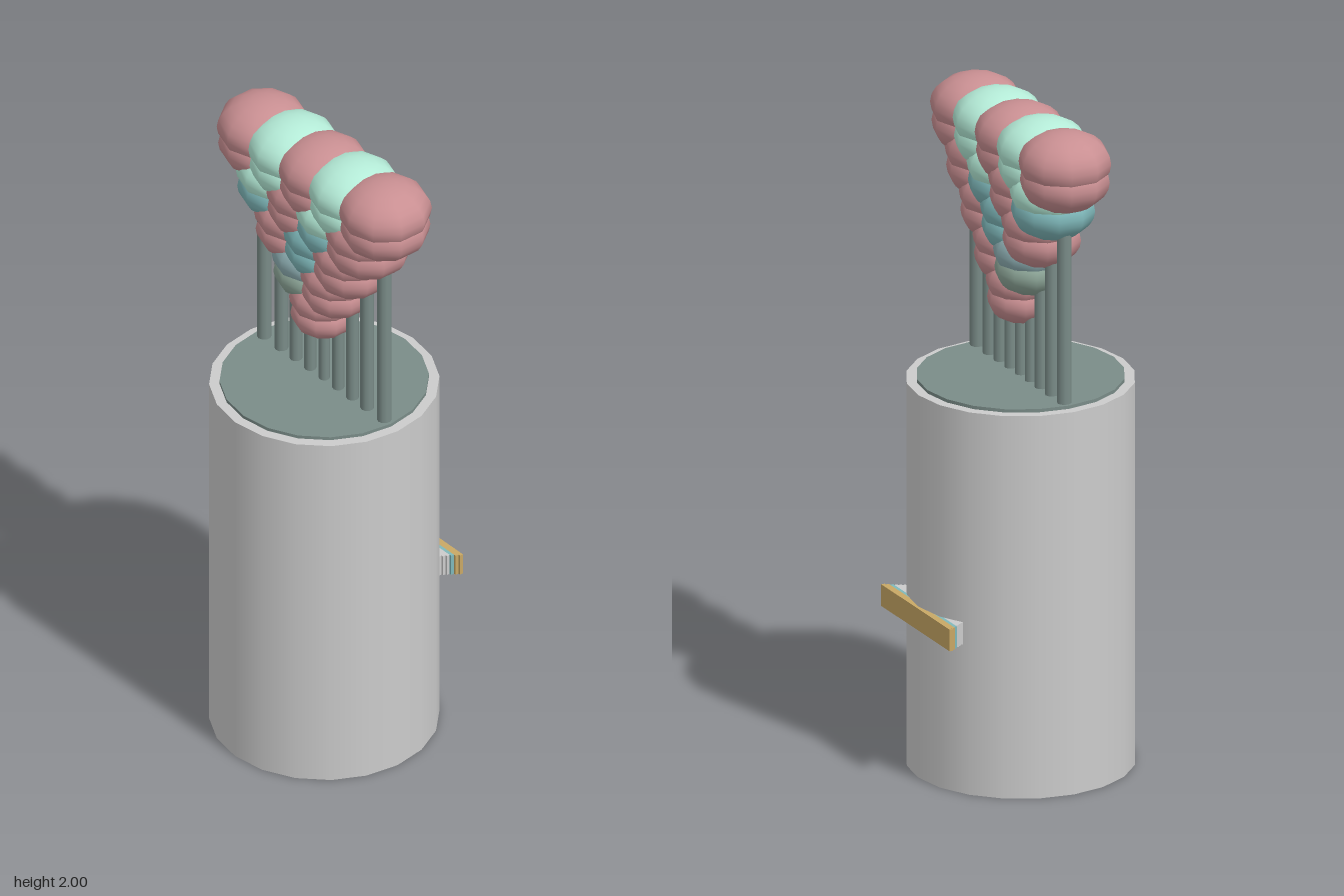
import * as THREE from 'three';

const mat = (color) => new THREE.MeshStandardMaterial({ color });
const PINK = mat(0xc98f92), MINT = mat(0xb5ecd8), TEAL = mat(0x7fb8ba);
const BLUE = mat(0x8fb0b4), SAGE = mat(0x8fa89a), DARK = mat(0x7a8c88);
const GREY = mat(0xcccccc), GOLD = mat(0xc8a865);

export function createModel() {
  const model = new THREE.Group();
  model.name = 'ballBouquetInDrum';
  const add = (name, geometry, material, x, y, z, parent = model) => {
    const mesh = new THREE.Mesh(geometry, material);
    mesh.name = name;
    mesh.position.set(x, y, z);
    parent.add(mesh);
    return mesh;
  };
  const Z = 0.004; // the badge at the back shifts the drum slightly forward

  // Drum and the darker filling that rises just above its rim
  add('drum', new THREE.CylinderGeometry(0.33, 0.33, 1.165, 20), GREY, 0, 0.5825, Z);
  add('filling', new THREE.CylinderGeometry(0.3, 0.3, 1.17, 20), DARK, 0, 0.59, Z);

  // Nine rods, one under each column of balls
  const rods = new THREE.Group();
  rods.name = 'rods';
  model.add(rods);
  const columns = [0, 0.063, 0.127, 0.193, 0.27];
  const rodTops = [1.41, 1.52, 1.63, 1.74, 1.85];
  for (let i = -4; i <= 4; i++) {
    const k = Math.abs(i), top = rodTops[k], r = 0.016 + 0.0013 * k;
    add('rod', new THREE.CylinderGeometry(r, r, top - 1.16, 10), DARK,
      Math.sign(i) * columns[k], (top + 1.16) / 2, Z, rods);
  }

  // Flattened balls: ten rows in pairs of 5, 4, 3, 2 and 1, shrinking downwards
  const balls = new THREE.Group();
  balls.name = 'balls';
  model.add(balls);
  const rowColours = [
    [PINK, MINT, PINK, MINT, PINK], [PINK, MINT, PINK, MINT, PINK],
    [MINT, PINK, MINT, PINK], [TEAL, PINK, TEAL, PINK],
    [PINK, TEAL, PINK], [PINK, TEAL, PINK],
    [BLUE, PINK], [SAGE, PINK], [PINK], [PINK],
  ];
  const ballGeometry = new THREE.SphereGeometry(1, 10, 12).rotateY(Math.PI / 2);
  rowColours.forEach((colours, row) => {
    const t = row / 9, r = 0.135 - 0.038 * t, ry = 0.092 - 0.022 * t;
    const spacing = 0.136 - 0.003 * Math.floor(row / 2);
    colours.forEach((colour, i) => {
      const x = (i - (colours.length - 1) / 2) * spacing;
      add('ball', ballGeometry, colour, x, 1.908 - 0.0558 * row, Z, balls).scale.set(r, ry, r);
    });
  });

  // Stepped bar on the back, each layer narrower towards the drum
  const bar = new THREE.Group();
  bar.name = 'backBar';
  model.add(bar);
  const layers = [
    [0.212, -0.335, -0.324, GOLD], [0.205, -0.324, -0.314, GOLD],
    [0.197, -0.314, -0.304, TEAL], [0.19, -0.304, -0.294, GREY],
    [0.184, -0.294, -0.284, GREY], [0.178, -0.284, -0.274, GREY],
  ];
  for (const [half, z0, z1, colour] of layers) {
    add('barLayer', new THREE.BoxGeometry(half * 2, 0.066, z1 - z0), colour,
      0, 0.488, (z0 + z1) / 2, bar);
  }
  return model;
}
